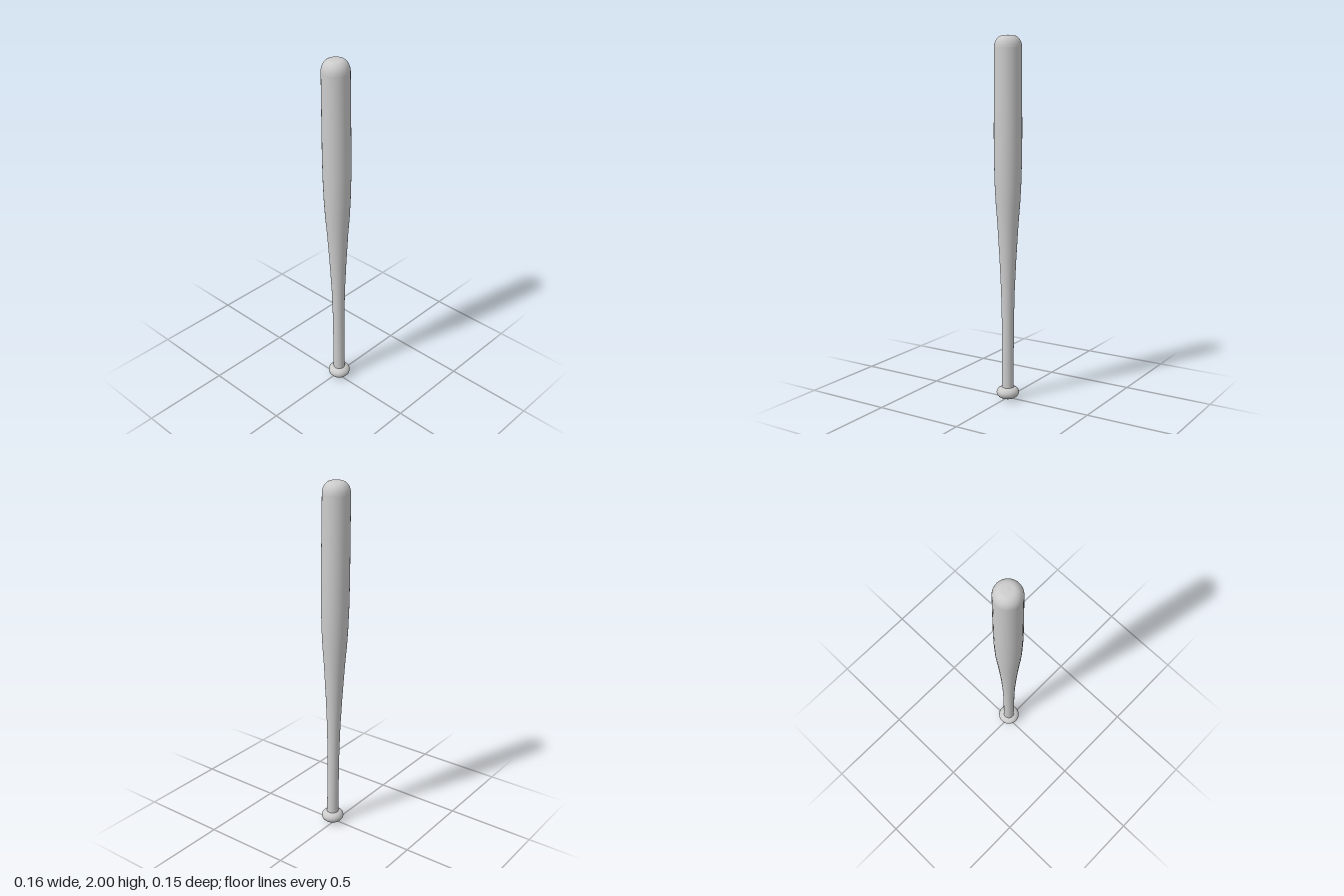
import * as THREE from 'three';

const material = new THREE.MeshStandardMaterial({ color: 0xcccccc });

// Smooth surface of revolution from [radius, height] pairs, bottom to top
function turned(name, profile) {
  const points = profile.map(([r, y]) => new THREE.Vector2(r, y));
  const mesh = new THREE.Mesh(new THREE.LatheGeometry(points, 32), material);
  mesh.name = name;
  return mesh;
}

export function createModel() {
  const bat = new THREE.Group();
  bat.name = 'bat';

  // Flattened round knob with a shallow domed base
  bat.add(turned('knob', [
    [0, 0.002], [0.02, 0.004], [0.038, 0.01], [0.052, 0.018], [0.06, 0.029], [0.063, 0.041],
    [0.06, 0.053], [0.052, 0.063], [0.042, 0.069], [0.032, 0.071],
  ]));

  // Slim handle swelling smoothly into the barrel
  bat.add(turned('handleAndBarrel', [
    [0.033, 0.065], [0.0325, 0.25], [0.0335, 0.45], [0.0375, 0.62], [0.046, 0.8],
    [0.058, 1.0], [0.066, 1.1], [0.0715, 1.2], [0.0755, 1.34], [0.0765, 1.48],
    [0.0755, 1.65], [0.0745, 1.8], [0.074, 1.935],
  ]));

  // Rounded end cap: quarter-ellipse shoulder closing to a nearly flat top
  const cap = [];
  for (let i = 0; i <= 8; i++) {
    const a = (i / 8) * Math.PI / 2;
    cap.push([0.026 + 0.048 * Math.cos(a), 1.935 + 0.063 * Math.sin(a)]);
  }
  cap.push([0, 2]);
  bat.add(turned('endCap', cap));

  // Slight lean of the whole bat
  bat.rotation.set(0.0055, 0, 0.01);
  bat.position.set(0.014, 0, -0.008);

  const model = new THREE.Group();
  model.add(bat);
  return model;
}
